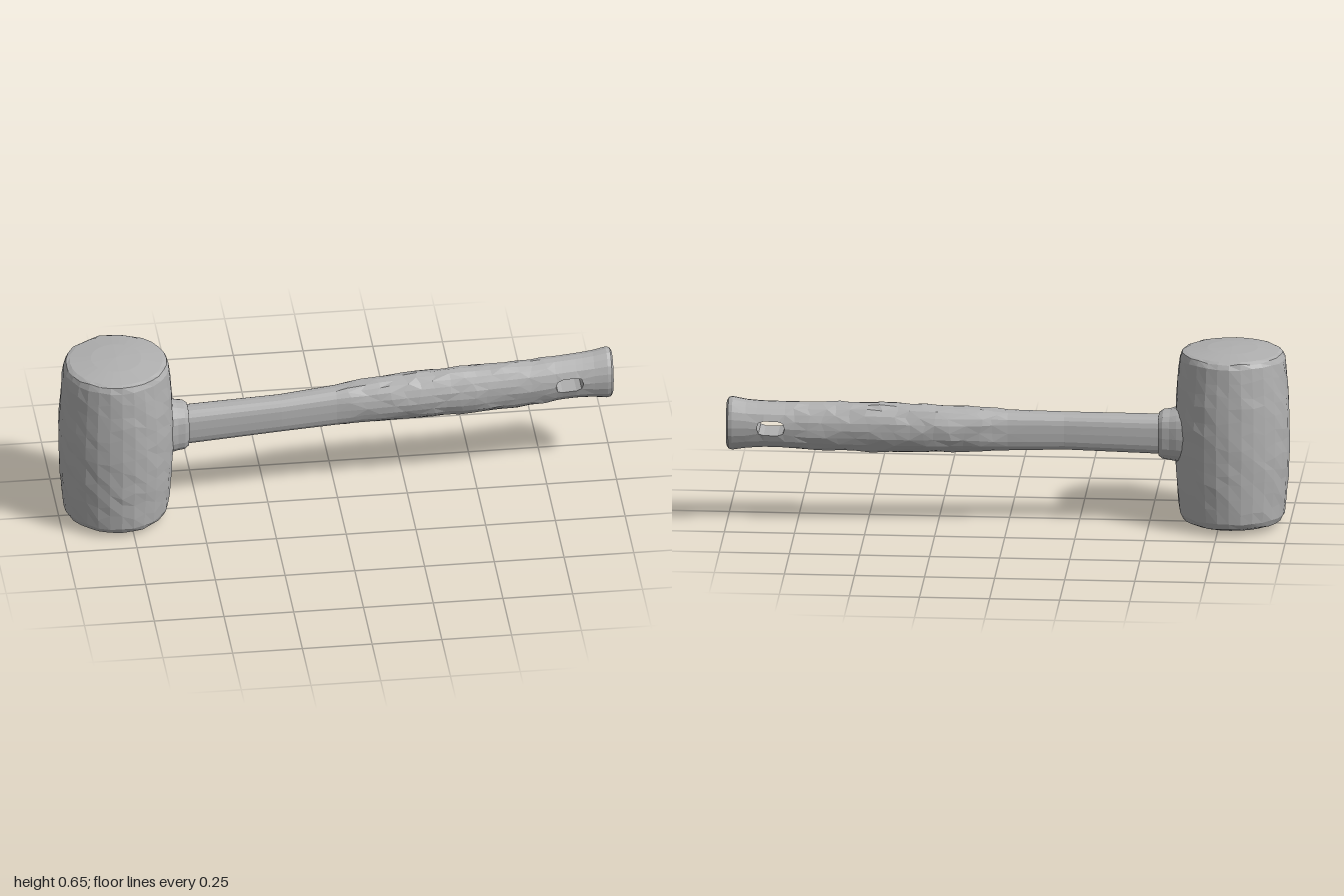
import * as THREE from 'three';

const SIDES = 20;

// repeatable noise in -1..1 from a position
function noise(x, y, z) {
  const s = Math.sin(x * 12.9898 + y * 78.233 + z * 37.719) * 43758.5453;
  return (s - Math.floor(s)) * 2 - 1;
}

// cross-section at x, interpolated from stations [x, yTop, yBottom, zBack, zFront, squareness]
function sectionAt(stations, x) {
  let i = 0;
  while (i < stations.length - 2 && x > stations[i + 1][0]) i++;
  const a = stations[i], b = stations[i + 1];
  const t = (x - a[0]) / (b[0] - a[0]);
  return a.map((v, k) => v + (b[k] - v) * t);
}

// point on a superellipse section; angle 0 faces +z, a quarter turn faces +y
function sectionPoint([x, top, bottom, back, front, n], k) {
  const a = (k / SIDES) * Math.PI * 2;
  const bend = (v) => Math.sign(v) * Math.pow(Math.abs(v), 2 / n);
  return [
    x,
    (top + bottom) / 2 + (top - bottom) / 2 * bend(Math.sin(a)),
    (back + front) / 2 + (front - back) / 2 * bend(Math.cos(a)),
  ];
}

// skin a list of rings along x, cap both ends; skip(row, side) leaves openings
function loft(rings, skip = () => false, extra = []) {
  const pos = rings.flat(2), index = [];
  const id = (r, k) => r * SIDES + ((k + SIDES) % SIDES);
  for (let r = 0; r < rings.length - 1; r++) {
    for (let k = 0; k < SIDES; k++) {
      if (skip(r, k)) continue;
      const a = id(r, k), b = id(r + 1, k), c = id(r + 1, k + 1), d = id(r, k + 1);
      if ((r + k) % 2) index.push(a, b, c, a, c, d);
      else index.push(a, b, d, b, c, d);
    }
  }
  for (const r of [0, rings.length - 1]) {
    const centre = pos.length / 3;
    for (let c = 0; c < 3; c++) pos.push(rings[r].reduce((s, p) => s + p[c], 0) / SIDES);
    for (let k = 0; k < SIDES; k++) {
      if (r === 0) index.push(centre, id(r, k), id(r, k + 1));
      else index.push(centre, id(r, k + 1), id(r, k));
    }
  }
  for (const [r, k] of extra) index.push(id(r, k));
  const g = new THREE.BufferGeometry();
  g.setAttribute('position', new THREE.Float32BufferAttribute(pos, 3));
  g.setIndex(index);
  g.computeVertexNormals();
  return g;
}

function headGeometry() {
  const pts = [[0, 0.002], [0.09, 0.006], [0.155, 0.015], [0.178, 0.025], [0.188, 0.045]];
  // barrel-shaped side
  for (let i = 1; i < 12; i++) {
    const y = 0.045 + i * 0.0475, t = (y - 0.33) / 0.285;
    pts.push([0.205 - 0.017 * t * t, y]);
  }
  pts.push([0.188, 0.615], [0.179, 0.634], [0.165, 0.64], [0.09, 0.65], [0, 0.654]);
  const g = new THREE.LatheGeometry(pts.map(([x, y]) => new THREE.Vector2(x, y)), 28);
  // hand-beaten surface
  const p = g.attributes.position;
  for (let i = 0; i < p.count; i++) {
    const x = p.getX(i), y = p.getY(i), z = p.getZ(i);
    const r = Math.hypot(x, z);
    if (r < 0.17) continue;
    const s = 1 + 0.009 * noise(x, y, z);
    const dy = y > 0.06 && y < 0.6 ? 0.012 * noise(z, x, y) : 0.004 * noise(z, x, y);
    p.setXYZ(i, x * s, y + dy, z * s);
  }
  g.translate(0, -0.33, 0).rotateX(0.02).translate(-0.795, 0.33, 0);
  g.computeVertexNormals();
  return g;
}

function handleGeometry() {
  const stations = [
    [-0.62, 0.403, 0.263, -0.078, 0.02, 3],
    [-0.53, 0.404, 0.264, -0.078, 0.02, 3],
    [-0.2, 0.41, 0.277, -0.092, 0.0, 3],
    [0.0, 0.42, 0.276, -0.118, -0.018, 2.8],
    [0.1, 0.432, 0.272, -0.138, -0.018, 2.2],
    [0.2, 0.44, 0.27, -0.155, -0.018, 2],
    [0.5, 0.45, 0.267, -0.166, -0.033, 2],
    [0.7, 0.45, 0.275, -0.176, -0.045, 2],
    [0.84, 0.453, 0.287, -0.19, -0.058, 2],
    [0.92, 0.458, 0.284, -0.197, -0.062, 2],
    [0.978, 0.47, 0.275, -0.203, -0.06, 2],
    [0.992, 0.467, 0.278, -0.201, -0.062, 2],
    [0.999, 0.455, 0.29, -0.193, -0.071, 2],
  ];
  const rows = [-0.62, -0.53, -0.36, -0.2, -0.08, 0];
  for (let x = 0.05; x < 0.76; x += 0.05) rows.push(x);
  const hole = rows.length; // first of the four rows around the hanging hole
  rows.push(0.79, 0.815, 0.865, 0.89, 0.93, 0.978, 0.992, 0.999);

  const rings = rows.map((x, r) => {
    const s = sectionAt(stations, x), cy = (s[1] + s[2]) / 2, cz = (s[3] + s[4]) / 2;
    return Array.from({ length: SIDES }, (_, k) => {
      const p = sectionPoint(s, k);
      if (x > 0.02 && x < 0.76) {
        // carved grip facets
        const f = 1 + 0.035 * noise(...p);
        return [x + 0.013 * noise(p[2], p[0], p[1]), cy + (p[1] - cy) * f, cz + (p[2] - cz) * f];
      }
      // round the corners of the hole
      const beside = [1, 9, 11, 19].includes(k);
      if (beside && (r === hole || r === hole + 3)) {
        p[0] += r === hole ? 0.007 : -0.007;
        p[1] = cy + (p[1] - cy) * 0.75;
      }
      return p;
    });
  });

  // hole through the grip, from front to back
  const loop = [[0, 0], [0, 1], [1, 1], [2, 1], [3, 1], [3, 0], [3, -1], [2, -1], [1, -1], [0, -1]];
  const walls = [];
  loop.forEach(([r, k], i) => {
    const [r2, k2] = loop[(i + 1) % loop.length];
    const pf = [hole + r, k], pb = [hole + r, 10 - k];
    const qf = [hole + r2, k2], qb = [hole + r2, 10 - k2];
    walls.push(pf, pb, qb, pf, qb, qf);
  });
  const open = (r, k) => r >= hole && r < hole + 3 && [0, 19, 9, 10].includes(k);
  return loft(rings, open, walls);
}

function collarGeometry() {
  const stations = [
    [-0.64, 0.44, 0.23, -0.115, 0.062, 2.6],
    [-0.6, 0.432, 0.238, -0.107, 0.053, 2.6],
    [-0.575, 0.424, 0.243, -0.098, 0.042, 2.8],
    [-0.55, 0.42, 0.247, -0.094, 0.037, 3],
    [-0.535, 0.41, 0.258, -0.086, 0.029, 3],
  ];
  return loft(stations.map((s) => Array.from({ length: SIDES }, (_, k) => sectionPoint(s, k))));
}

export function createModel() {
  const grey = new THREE.MeshStandardMaterial({ color: 0xb0b0b0, flatShading: true });
  grey.name = 'grey';
  const model = new THREE.Group();
  model.name = 'mallet';
  const parts = { head: headGeometry(), collar: collarGeometry(), handle: handleGeometry() };
  for (const [name, geometry] of Object.entries(parts)) {
    const mesh = new THREE.Mesh(geometry, grey);
    mesh.name = name;
    model.add(mesh);
  }
  return model;
}
